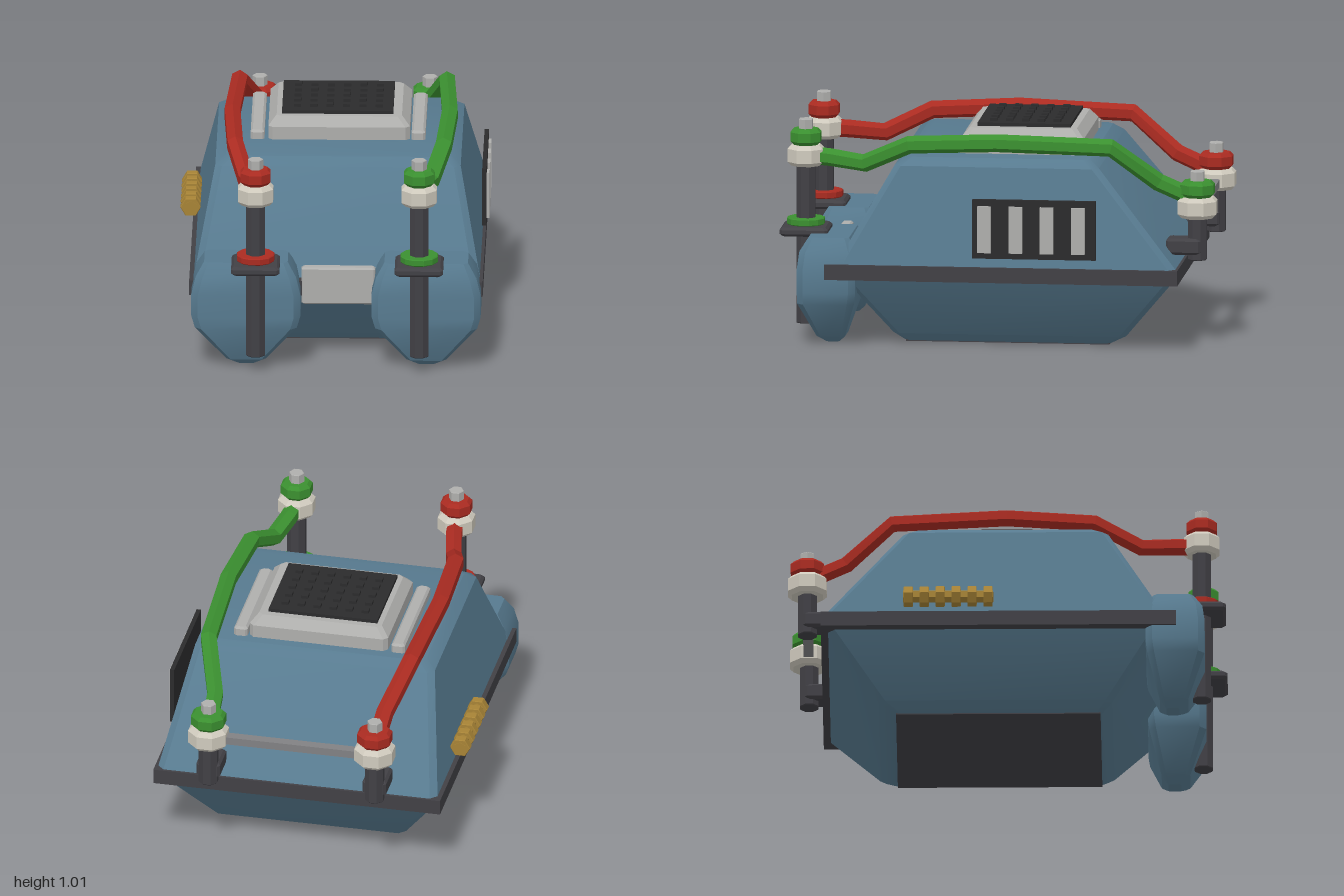
import * as THREE from 'three';
import { toCreasedNormals } from 'three/addons/utils/BufferGeometryUtils.js';

const paint = (name, color) => {
  const m = new THREE.MeshStandardMaterial({ color });
  m.name = name;
  return m;
};

// Faceted normals
function flat(geo) {
  const g = geo.index ? geo.toNonIndexed() : geo;
  g.computeVertexNormals();
  return g;
}

// Stack of corner-cut rectangles, bottom to top: [y, halfWidth, zBack, zFront, corner]
function loft(rings, crease = 0) {
  const pos = [], index = [], n = 8;
  for (const [y, w, b, f, c] of rings) {
    const pts = [[w, f - c], [w, b + c], [w - c, b], [c - w, b], [-w, b + c], [-w, f - c], [c - w, f], [w - c, f]];
    for (const [x, z] of pts) pos.push(x, y, z);
  }
  for (let r = 0; r < rings.length - 1; r++) {
    for (let i = 0; i < n; i++) {
      const a = r * n + i, b = r * n + (i + 1) % n;
      index.push(a, b, b + n, a, b + n, a + n);
    }
  }
  const top = (rings.length - 1) * n;
  for (let i = 1; i < n - 1; i++) index.push(0, i + 1, i, top, top + i, top + i + 1);
  const g = new THREE.BufferGeometry();
  g.setAttribute('position', new THREE.Float32BufferAttribute(pos, 3));
  g.setIndex(index);
  return crease ? toCreasedNormals(g, crease) : flat(g);
}

// Box with all its edges cut, centred on the origin
function cutBox(w, h, d, c) {
  const x = w / 2, y = h / 2, z = d / 2;
  return loft([
    [-y, x - c, c - z, z - c, c], [c - y, x, -z, z, c],
    [y - c, x, -z, z, c], [y, x - c, c - z, z - c, c],
  ]);
}

// Faceted nut with cut rims, base at y = 0
function nut(r, h, sides = 8, c = 0.015) {
  const p = [[0, 0], [r - c, 0], [r, c], [r, h - c], [r - c, h], [0, h]];
  return flat(new THREE.LatheGeometry(p.map(([x, y]) => new THREE.Vector2(x, y)), sides, Math.PI / sides));
}

export function createModel() {
  const blue = paint('hull blue', 0x577a8f);
  const dark = paint('dark trim', 0x414045);
  const black = paint('black', 0x2b2b2c);
  const silver = paint('silver', 0xaeaeac);
  const steel = paint('steel grey', 0x818183);
  const cream = paint('pale metal', 0xcfcabd);
  const red = paint('red', 0xaa2b21);
  const green = paint('green', 0x3b9030);
  const brass = paint('brass', 0xa78336);

  const model = new THREE.Group();
  model.name = 'machine';
  const add = (parent, name, geo, mat, x = 0, y = 0, z = 0) => {
    const m = new THREE.Mesh(geo, mat);
    m.name = name;
    m.position.set(x, y, z);
    parent.add(m);
    return m;
  };
  const box = (w, h, d) => new THREE.BoxGeometry(w, h, d);
  const body = new THREE.Group();
  body.name = 'body';
  body.position.x = 0.02;
  model.add(body);

  // Hull
  add(body, 'upperHull', loft([
    [0.38, 0.652, -0.84, 0.725, 0.03], [0.835, 0.558, -0.472, 0.462, 0.03], [0.87, 0.51, -0.425, 0.415, 0.03],
  ], 0.6), blue);
  add(body, 'lowerHull', loft([
    [0.005, 0.4, -0.51, 0.43, 0.02], [0.045, 0.45, -0.585, 0.48, 0.03], [0.33, 0.63, -0.82, 0.7, 0.03],
  ], 0.6), blue);
  add(body, 'bellyPlate', box(0.79, 0.008, 0.93), dark, 0, 0.004, -0.04);
  add(body, 'flange', box(1.335, 0.07, 1.615), dark, -0.003, 0.355, -0.037);
  add(body, 'frontPlate', cutBox(0.335, 0.175, 0.05, 0.008), silver, 0.008, 0.368, 0.752);

  // Studded pad on the roof, between two rails
  add(body, 'roofFrame', loft([
    [0.86, 0.322, -0.378, 0.182, 0.02], [0.93, 0.322, -0.378, 0.182, 0.02], [0.972, 0.285, -0.342, 0.146, 0.02],
  ]), silver);
  add(body, 'roofPad', box(0.506, 0.025, 0.426), black, -0.008, 0.975, -0.098);
  for (const s of [-1, 1]) add(body, 'roofRail', cutBox(0.063, 0.06, 0.56, 0.01), silver, s * 0.366 - 0.005, 0.883, -0.1);
  const studs = new THREE.Group();
  studs.name = 'padStuds';
  body.add(studs);
  for (let i = 0; i < 6; i++) {
    for (let j = 0; j < 5; j++) {
      add(studs, 'stud', box(0.032, 0.016, 0.032), black, (i - 2.5) * 0.0745 - 0.006, 0.993, -0.098 + (j - 2) * 0.073);
    }
  }

  // Louvre on the left flank
  const louvre = new THREE.Group();
  louvre.name = 'louvre';
  model.add(louvre);
  add(louvre, 'louvrePanel', box(0.02, 0.272, 0.565), black, 0.679, 0.569, -0.19);
  for (let i = 0; i < 4; i++) {
    add(louvre, 'louvreSlat', box(0.016, 0.215, 0.062), silver, 0.694, 0.568, 0.037 - i * 0.143);
  }

  // Row of brass nuts on the right flank
  const coil = new THREE.Group();
  coil.name = 'brassFitting';
  coil.position.set(-0.66, 0.458, -0.265);
  coil.rotation.x = Math.PI / 2;
  model.add(coil);
  add(coil, 'brassCore', flat(new THREE.CylinderGeometry(0.03, 0.03, 0.41, 6)), brass);
  for (let i = 0; i < 6; i++) add(coil, 'brassNut', nut(0.047, 0.042, 6, 0.003), brass, 0, (i - 2.5) * 0.0725 - 0.021, 0);

  // Both sides: pod, posts, fittings and hose
  for (const s of [-1, 1]) {
    const side = new THREE.Group();
    side.name = s < 0 ? 'rightSide' : 'leftSide';
    side.position.x = 0.006;
    body.add(side);
    const hue = s < 0 ? red : green;

    add(side, 'frontPod', loft([
      [0, 0.04, 0.725, 0.785, 0.01], [0.03, 0.09, 0.695, 0.825, 0.02], [0.2, 0.232, 0.64, 0.9, 0.03],
      [0.255, 0.248, 0.632, 0.9, 0.03], [0.36, 0.248, 0.632, 0.9, 0.03], [0.44, 0.228, 0.632, 0.89, 0.03],
      [0.503, 0.19, 0.665, 0.85, 0.02],
    ], 0.45), blue, s * 0.41 - 0.007);

    // Front post
    const front = new THREE.Group();
    front.name = 'frontPost';
    front.position.set(s * 0.372, 0, 0.885);
    side.add(front);
    add(front, 'postShaft', nut(0.046, 0.75, 8, 0.004), dark, 0, 0.074);
    add(front, 'postPlate', cutBox(0.22, 0.042, 0.22, 0.012), dark, 0, 0.506);
    add(front, 'postCollar', nut(0.088, 0.032, 12, 0.004), hue, 0, 0.529);

    // Rear post on a bracket
    const rear = new THREE.Group();
    rear.name = 'rearPost';
    rear.position.set(s * 0.387, 0, -0.908);
    side.add(rear);
    add(rear, 'postShaft', nut(0.046, 0.22, 8, 0.004), dark, 0, 0.4);
    add(rear, 'postBracket', cutBox(0.11, 0.075, 0.16, 0.012), dark, 0, 0.465, 0.06);

    // Nuts and bolt heads on both posts
    for (const [post, y, grow] of [[front, 0.8, 0], [rear, 0.595, 0.008]]) {
      add(post, 'hoseNut', nut(0.087 + grow, 0.096, 8, 0.018), cream, 0, y);
      add(post, 'capNut', nut(0.074 + grow, 0.074, 8, 0.016), hue, 0, y + 0.096);
      add(post, 'boltHead', nut(0.035, 0.055, 6, 0.003), silver, 0, y + 0.16);
    }

    // Hose bent over the hull, sampled at its bends
    const path = new THREE.CatmullRomCurve3([
      [0.372, 0.848, 0.885], [0.385, 0.84, 0.77], [0.42, 0.822, 0.61], [0.475, 0.92, 0.4], [0.495, 0.938, 0],
      [0.472, 0.922, -0.52], [0.395, 0.755, -0.73], [0.387, 0.68, -0.9],
    ].map(([x, y, z]) => new THREE.Vector3(s * x, y, z)), false, 'catmullrom');
    path.getPointAt = path.getPoint;
    path.getTangentAt = path.getTangent;
    add(side, 'hose', flat(new THREE.TubeGeometry(path, 7, 0.041, 6)), hue);
  }
  add(body, 'rearCrossBar', box(0.72, 0.036, 0.046), steel, 0.006, 0.635, -0.91);

  return model;
}
